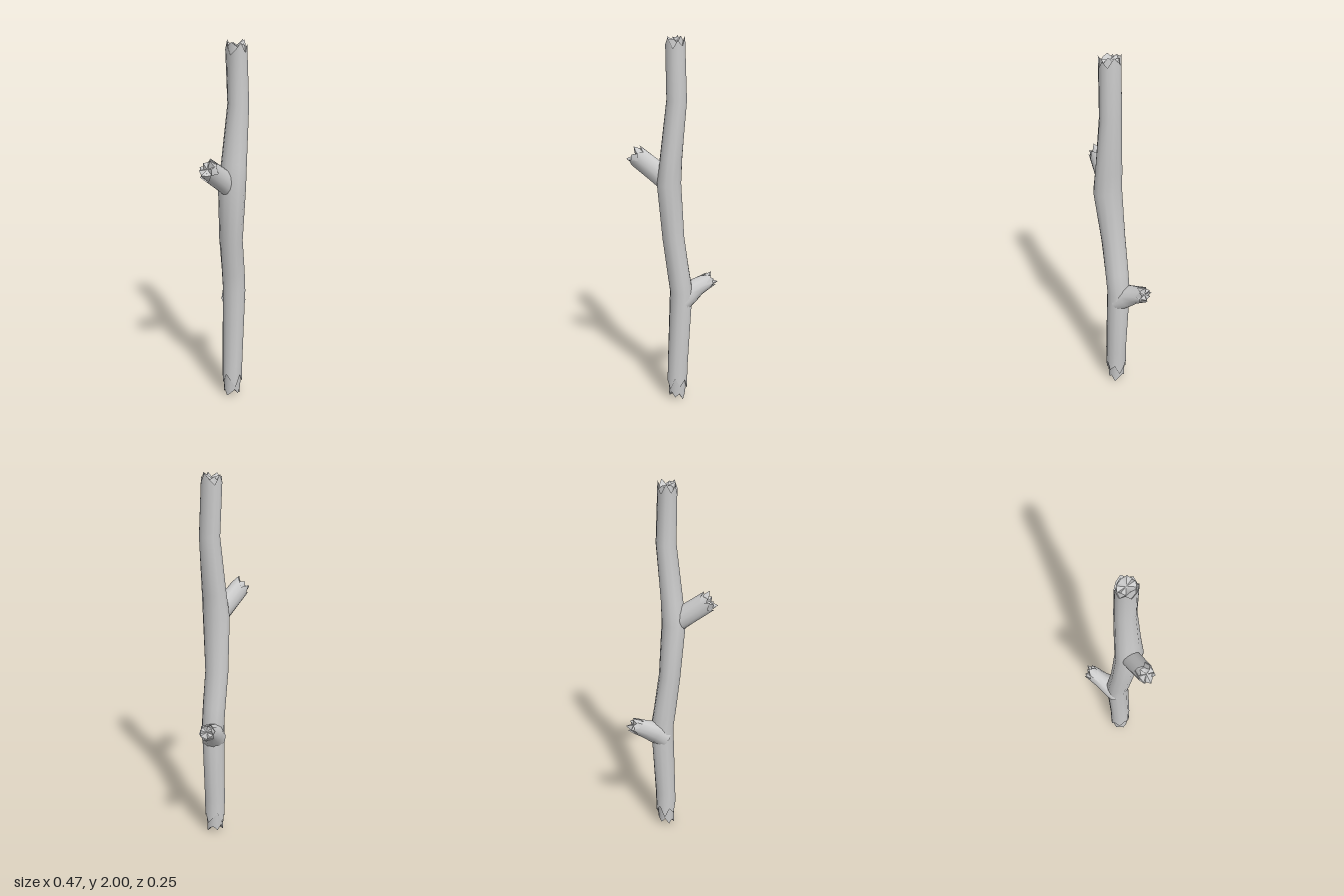
import * as THREE from 'three';
import { toCreasedNormals } from 'three/addons/utils/BufferGeometryUtils.js';

const SIDES = 12;
const Z = new THREE.Vector3(0, 0, 1);

// Splinter heights (0..1) around a broken end
const BARK = [1, 0.25, 0.7, 0.1, 0.95, 0.4, 0, 0.8, 0.3, 1, 0.15, 0.55];
const CORE = [0.4, 1, 0.2, 0.65, 0.05, 0.5, 0.9, 0.3, 0.75, 0, 0.6, 0.2];

// Loft through stations [x, y, z, radiusU, radiusV].
// Each end may be broken: { bark, core } = how far splinters range along the limb.
function limb(name, stations, material, endBreak, startBreak) {
  const centres = stations.map(s => new THREE.Vector3(s[0], s[1], s[2]));
  const last = stations.length - 1;

  // ring of points around station i, scaled, and shifted along the limb per vertex
  const ring = (i, scale, shift) => {
    const t = centres[Math.min(i + 1, last)].clone().sub(centres[Math.max(i - 1, 0)]).normalize();
    const u = t.clone().cross(Z).normalize();
    const v = u.clone().cross(t);
    return Array.from({ length: SIDES }, (_, j) => {
      const a = (j / SIDES) * Math.PI * 2;
      const wobble = scale * (1 + 0.025 * Math.sin(3 * a + i * 1.7));
      return centres[i].clone()
        .addScaledVector(u, Math.cos(a) * stations[i][3] * wobble)
        .addScaledVector(v, Math.sin(a) * stations[i][4] * wobble)
        .addScaledVector(t, shift ? shift(j) : 0);
    });
  };

  // bark edge, its inner lip, the splintered core and the dished cap
  const brokenEnd = (i, dir, { bark, core }) => {
    const along = (range, table) => j => dir * (range[0] + (range[1] - range[0]) * table[j]);
    const mid = along([(core[0] * 2 + core[1]) / 3, (core[0] * 2 + core[1]) / 3], CORE);
    return [
      ring(i, 1, along(bark, BARK)),
      ring(i, 0.88, j => along(bark, BARK)(j) - dir * 0.012),
      ring(i, 0.8, along(core, CORE)),
      ring(i, 0.02, mid),
    ];
  };

  const rings = stations.map((_, i) => ring(i, 1));
  if (endBreak) rings.splice(last, 1, ...brokenEnd(last, 1, endBreak));
  if (startBreak) rings.splice(0, 1, ...brokenEnd(0, -1, startBreak).reverse());

  const index = [];
  for (let i = 0; i < rings.length - 1; i++) {
    for (let j = 0; j < SIDES; j++) {
      const a = i * SIDES + j, b = i * SIDES + (j + 1) % SIDES;
      const c = a + SIDES, d = b + SIDES;
      index.push(a, c, b, b, c, d);
    }
  }
  const geometry = new THREE.BufferGeometry().setFromPoints(rings.flat());
  geometry.setIndex(index);
  const mesh = new THREE.Mesh(toCreasedNormals(geometry, 0.75), material);
  mesh.name = name;
  return mesh;
}

export function createModel() {
  const group = new THREE.Group();
  group.name = 'stick';
  const wood = new THREE.MeshStandardMaterial({ color: 0xcccccc, side: THREE.DoubleSide });

  // Gently crooked main stem, broken at both ends
  group.add(limb('stem', [
    [0.030, 0.10, 0.010, 0.055, 0.056],
    [0.032, 0.22, 0.011, 0.056, 0.057],
    [0.050, 0.64, 0.005, 0.062, 0.062],
    [0.034, 0.76, 0.010, 0.060, 0.064],
    [0.009, 0.95, 0.017, 0.058, 0.066],
    [-0.010, 1.25, 0.040, 0.064, 0.078],
    [0.002, 1.38, 0.040, 0.058, 0.071],
    [0.032, 1.68, 0.042, 0.053, 0.057],
    [0.022, 1.97, 0.038, 0.050, 0.058],
  ], wood,
  { bark: [-0.035, 0.028], core: [-0.01, 0.03] },
  { bark: [-0.045, 0.035], core: [0.05, 0.1] }));

  // Upper stub, on the model's right
  group.add(limb('upperBranch', [
    [0.000, 1.245, 0.030, 0.062, 0.048],
    [-0.080, 1.303, 0.030, 0.058, 0.047],
    [-0.180, 1.376, 0.030, 0.056, 0.046],
  ], wood, { bark: [-0.025, 0.025], core: [0.0, 0.045] }));

  // Lower stub, on the model's left and leaning back
  group.add(limb('lowerBranch', [
    [0.045, 0.585, 0.005, 0.066, 0.066],
    [0.090, 0.625, -0.030, 0.062, 0.056],
    [0.130, 0.650, -0.055, 0.050, 0.046],
    [0.182, 0.680, -0.083, 0.042, 0.042],
  ], wood, { bark: [-0.025, 0.025], core: [0.0, 0.04] }));

  return group;
}
